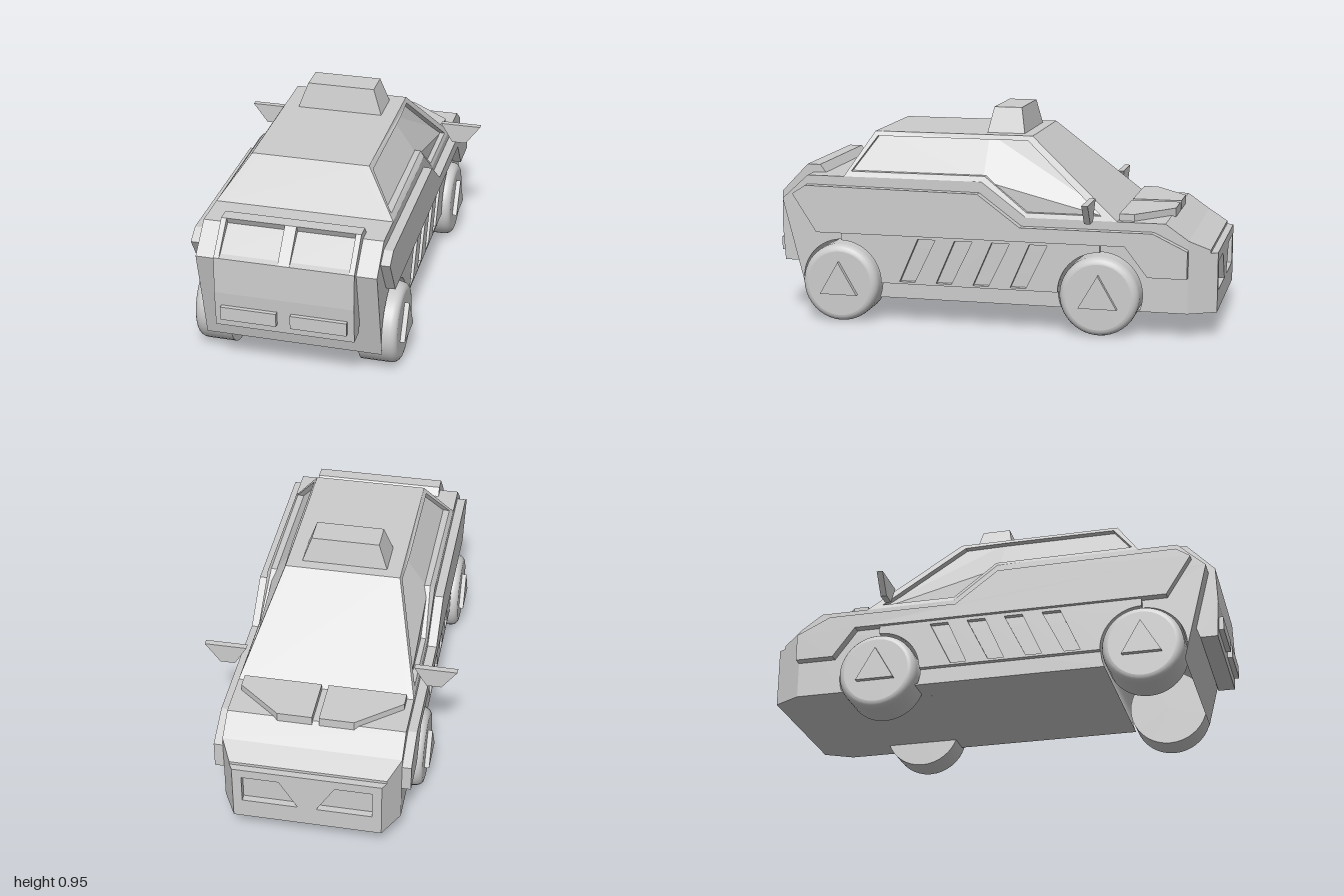
import * as THREE from 'three';

const HALF = 0.385;            // half width of the body
const AXLES = [0.67, -0.5];    // wheel centres along z
const WHEEL_Y = 0.175;

export function createModel() {
  const car = new THREE.Group();
  car.name = 'car';
  const mat = new THREE.MeshStandardMaterial({ color: 0xcccccc });

  const add = (name, geo) => {
    const mesh = new THREE.Mesh(geo, mat);
    mesh.name = name;
    car.add(mesh);
    return mesh;
  };
  const poly = (pts) => new THREE.Shape(pts.map((p) => new THREE.Vector2(...p)));
  const extrude = (shape, depth) =>
    new THREE.ExtrudeGeometry(shape, { depth, bevelEnabled: false, curveSegments: 24 });
  // Side profile given as (z, y), extruded across the car from x0 to x1
  const side = (shape, x0, x1) =>
    extrude(shape, x1 - x0).rotateY(-Math.PI / 2).translate(x1, 0, 0);
  // The same for both flanks, from inner to outer x
  const flanks = (name, shape, inner, outer) => {
    add('left' + name, side(shape, inner, outer));
    add('right' + name, side(shape, -outer, -inner));
  };
  // Move every vertex by a rule
  const warp = (geo, rule) => {
    const p = geo.attributes.position;
    for (let i = 0; i < p.count; i++) p.setX(i, rule(p.getX(i), p.getY(i), p.getZ(i)));
    geo.computeVertexNormals();
    return geo;
  };

  // Lower body with wheel tunnels
  const body = new THREE.Shape();
  body.moveTo(0.95, 0.11);
  for (const z of AXLES) body.absarc(z, WHEEL_Y + 0.005, 0.185, -0.388, Math.PI + 0.388, false);
  for (const p of [[-0.88, 0.11], [-0.88, 0.43], [-0.78, 0.5], [-0.17, 0.5], [0.03, 0.65], [0.83, 0.65], [0.95, 0.54]])
    body.lineTo(...p);
  add('body', side(body, -HALF, HALF));
  add('frontFloor', new THREE.BoxGeometry(HALF * 2, 0.006, 0.4).translate(0, 0.113, AXLES[1]));

  // Nose narrowing to the front, with recessed headlights
  const noseWidth = (z) => HALF - (0.065 * (-0.88 - z)) / 0.12;
  add('nose', warp(
    side(poly([[-0.88, 0.11], [-0.88, 0.43], [-0.97, 0.385], [-0.97, 0.11]]), -1, 1),
    (x, y, z) => x * noseWidth(z)));
  const bumper = poly([[-0.32, 0.11], [0.32, 0.11], [0.32, 0.372], [-0.32, 0.372]]);
  for (const s of [-1, 1])
    bumper.holes.push(poly([[s * 0.28, 0.2], [s * 0.04, 0.2], [s * 0.12, 0.33], [s * 0.28, 0.33]]));
  add('headlightPlate', warp(extrude(bumper, 0.03).translate(0, 0, -1),
    (x, y, z) => (Math.abs(x) > 0.31 ? Math.sign(x) * noseWidth(z) : x)));

  // Cabin: width grows from the roof down to the belt line
  const belt = (z) => 0.65 - 0.15 * THREE.MathUtils.clamp((0.03 - z) / 0.2, 0, 1);
  const cabinWidth = (y, z) => 0.255 + (0.13 * (0.84 - y)) / (0.84 - belt(z));
  const cabinOutline = [[0.66, 0.65], [0.55, 0.84], [0.03, 0.84], [-0.17, 0.84], [-0.57, 0.5], [-0.17, 0.5], [0.03, 0.65]];
  const inset = 0.03;
  add('cabin', warp(side(poly(cabinOutline), -1, 1),
    (x, y, z) => x * (cabinWidth(y, z) - inset)));
  const frame = poly(cabinOutline);
  frame.holes.push(poly([[0.63, 0.672], [0.535, 0.82], [0.03, 0.82], [-0.15, 0.82], [-0.5, 0.52], [-0.17, 0.52], [0.02, 0.672]]));
  for (const s of [-1, 1])
    add(s > 0 ? 'leftWindowFrame' : 'rightWindowFrame',
      warp(side(frame, Math.min(0, s), Math.max(0, s)),
        (x, y, z) => s * (cabinWidth(y, z) - inset + inset * Math.abs(x))));

  // Roof sign, a tapered block
  const sign = new THREE.BoxGeometry(0.38, 0.112, 0.17).toNonIndexed();
  const sp = sign.attributes.position;
  for (let i = 0; i < sp.count; i++)
    if (sp.getY(i) > 0) sp.setXYZ(i, sp.getX(i) * 0.79, sp.getY(i), sp.getZ(i) * 0.74);
  sign.computeVertexNormals();
  add('roofSign', sign.translate(0, 0.895, -0.035));

  // Raised shoulder panels
  flanks('ShoulderPanel', poly([[0.89, 0.57], [0.83, 0.61], [0.04, 0.602], [-0.15, 0.462], [-0.73, 0.462],
    [-0.88, 0.39], [-0.88, 0.27], [-0.71, 0.27], [-0.61, 0.4], [0.78, 0.4]]), 0.37, 0.425);

  // Door panels with slanted vents
  const door = new THREE.Shape();
  door.moveTo(AXLES[0] - 0.185, 0.18);
  door.absarc(AXLES[0], 0.18, 0.185, Math.PI, Math.PI / 2, true);
  door.lineTo(AXLES[0], 0.4);
  door.lineTo(AXLES[1], 0.4);
  door.absarc(AXLES[1], 0.18, 0.185, Math.PI / 2, 0, true);
  for (let i = 0; i < 4; i++) {
    const z = -0.168 * i;
    door.holes.push(poly([[0.4 + z, 0.19], [0.33 + z, 0.19], [0.235 + z, 0.385], [0.315 + z, 0.385]]));
  }
  flanks('DoorPanel', door, HALF, 0.408);

  // Rear hatch: solid bars around two recessed windows
  const hatch = [[0.9, 0.24], [0.975, 0.24], [0.985, 0.4], [0.98, 0.56], [0.86, 0.685], [0.8, 0.685], [0.765, 0.64]];
  const hatchPane = [...hatch.slice(0, 4), [0.957, 0.57], [0.845, 0.656], ...hatch.slice(4)];
  add('hatchCentreBar', side(poly(hatch), -0.025, 0.025));
  flanks('HatchPane', poly(hatchPane), 0.025, 0.275);
  flanks('HatchEdge', poly(hatch), 0.275, 0.298);
  for (const s of [-1, 1])
    add('rearLight', new THREE.BoxGeometry(0.24, 0.06, 0.04).translate(s * 0.15, 0.31, 0.98));

  for (const s of [-1, 1]) {
    // Hood plates
    const plate = poly([[0.015, 0.575], [0.355, 0.575], [0.355, 0.64], [0.165, 0.795], [0.015, 0.795]]
      .map(([x, z]) => [s * x, z]));
    add('hoodPlate', extrude(plate, 0.04).rotateX(-Math.PI / 2).translate(0, 0.49, 0));

    // Side mirrors
    const mirror = poly([[0.37, 0.595], [0.425, 0.505], [0.49, 0.505], [0.557, 0.595]].map(([x, y]) => [s * x, y]));
    add('sideMirror', extrude(mirror, 0.027).translate(0, 0, -0.473));
  }

  // Wheels with a rounded outer shoulder and a triangular hub
  const tyre = [[0, 0.28], [0.175, 0.28], [0.175, 0.28], [0.175, 0.405]];
  for (let i = 1; i <= 5; i++) {
    const a = (i / 5) * Math.PI / 2;
    tyre.push([0.145 + 0.03 * Math.cos(a), 0.405 + 0.038 * Math.sin(a)]);
  }
  tyre.push([0.145, 0.443], [0, 0.443]);
  for (const z of AXLES) {
    for (const s of [-1, 1]) {
      const wheel = new THREE.LatheGeometry(tyre.map((p) => new THREE.Vector2(...p)), 40)
        .rotateZ(-s * Math.PI / 2).translate(0, WHEEL_Y, z);
      add('wheel', wheel);
    }
    flanks('HubTriangle', poly([[z - 0.085, 0.128], [z + 0.085, 0.128], [z, 0.275]]), 0.43, 0.464);
  }

  return car;
}
